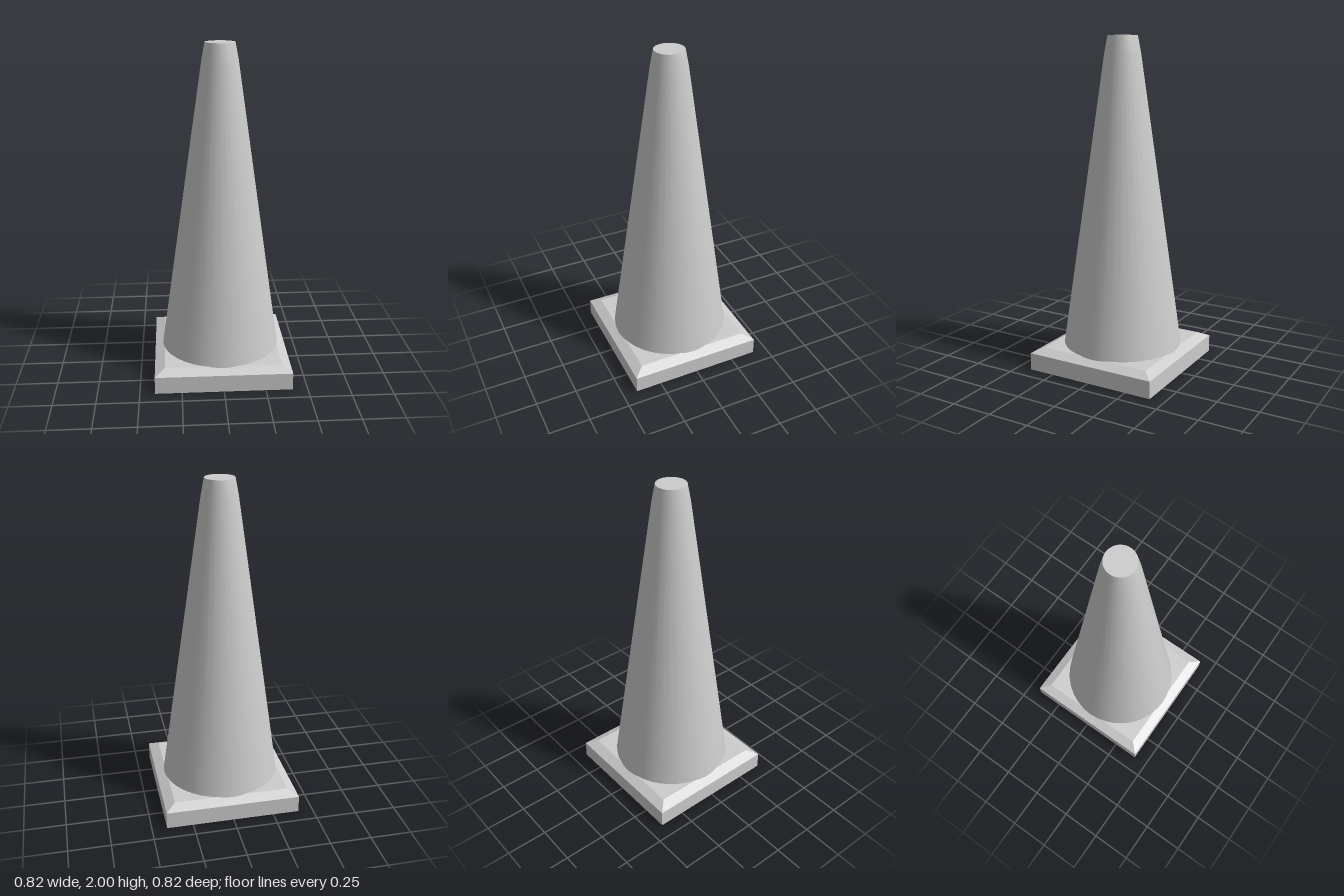
import * as THREE from 'three';

const SEGMENTS = 36;

export function createModel() {
  const group = new THREE.Group();
  const grey = new THREE.MeshStandardMaterial({ color: 0xcccccc });
  grey.name = 'plain grey';

  const add = (name, geometry, y = 0) => {
    const mesh = new THREE.Mesh(geometry, grey);
    mesh.name = name;
    mesh.position.y = y;
    group.add(mesh);
    return mesh;
  };

  // Square foot plate
  add('basePlate', new THREE.BoxGeometry(0.82, 0.105, 0.82), 0.0525);

  // Sloped upper edge of the plate: a four-sided frustum turned square
  const bevel = new THREE.CylinderGeometry(0.35 * Math.SQRT2, 0.41 * Math.SQRT2, 0.03, 4)
    .rotateY(Math.PI / 4).toNonIndexed();
  bevel.computeVertexNormals();
  add('baseBevel', bevel, 0.12);

  // Tapered body, drawn in slightly more at the tip
  const profile = [[0.362, 0.13], [0.107, 1.9], [0.088, 2]]
    .map(([r, y]) => new THREE.Vector2(r, y));
  add('coneBody', new THREE.LatheGeometry(profile, SEGMENTS));

  // Flat tip and underside of the body
  add('coneTip', new THREE.CircleGeometry(0.088, SEGMENTS).rotateX(-Math.PI / 2), 2);
  add('coneUnderside', new THREE.CircleGeometry(0.362, SEGMENTS).rotateX(Math.PI / 2), 0.13);

  return group;
}
